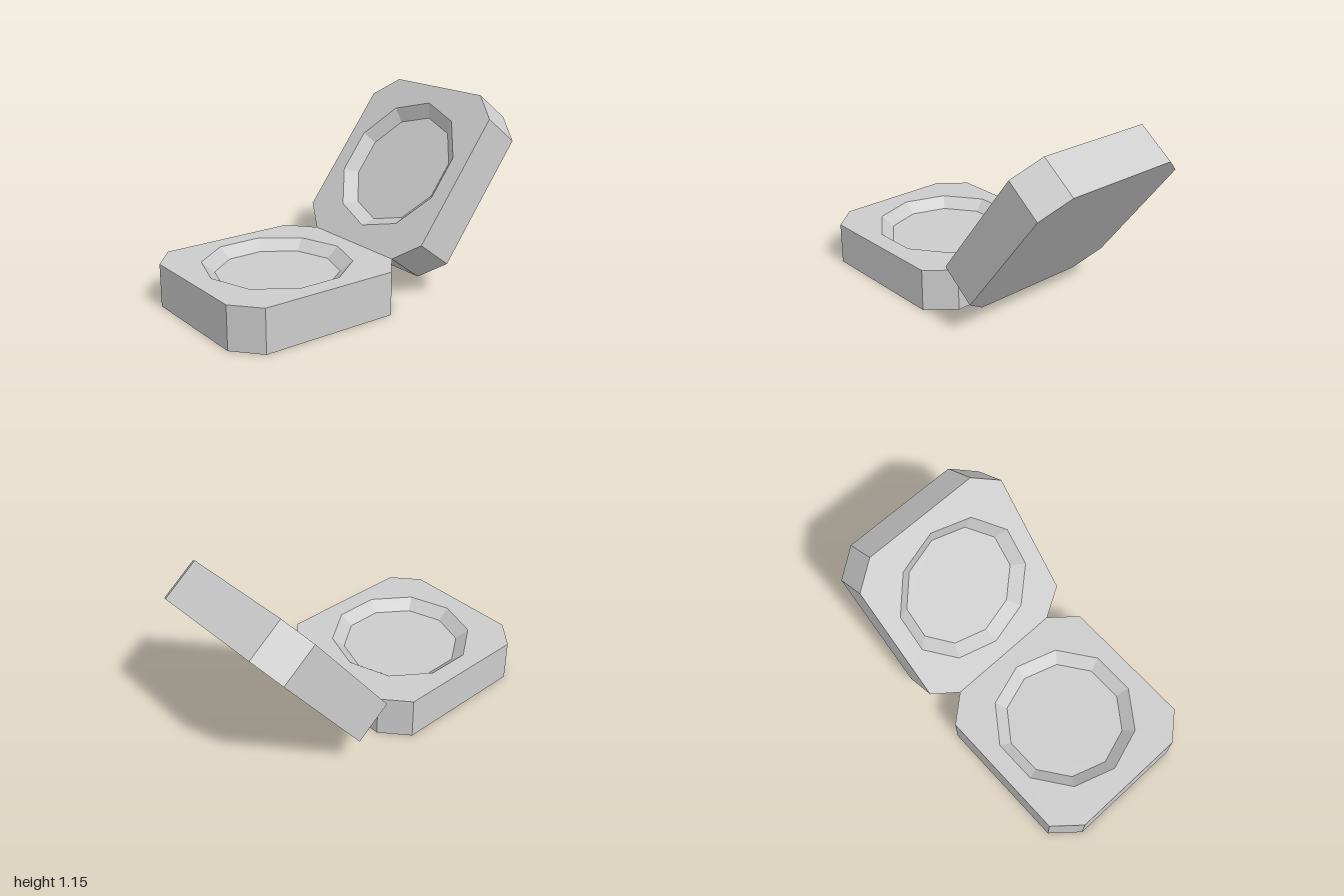
import * as THREE from 'three';
import { mergeGeometries } from 'three/addons/utils/BufferGeometryUtils.js';

const HALF_W = 0.53, LENGTH = 1.115, THICK = 0.26;
const CUT_X = 0.16, CUT_Y = 0.137;
const RECESS_R = 0.4375, FLOOR_R = 0.363, RECESS_DEPTH = 0.062;

// Ten-sided ring with a corner pointing along the case
function decagon(radius, cy) {
  return Array.from({ length: 10 }, (_, i) => {
    const a = Math.PI / 2 + (i * Math.PI) / 5;
    return new THREE.Vector2(radius * Math.cos(a), cy + radius * Math.sin(a));
  });
}

// Flat face at height z
function cap(points, z, hole) {
  const shape = new THREE.Shape(points);
  if (hole) shape.holes.push(new THREE.Path(hole));
  const geo = new THREE.ShapeGeometry(shape).toNonIndexed();
  geo.deleteAttribute('uv');
  return geo.translate(0, 0, z);
}

// Band of quads between two rings; faces outward when a lies below b
function band(a, za, b, zb) {
  const pos = [];
  a.forEach((p, i) => {
    const j = (i + 1) % a.length;
    const p0 = [p.x, p.y, za], p1 = [a[j].x, a[j].y, za];
    const q0 = [b[i].x, b[i].y, zb], q1 = [b[j].x, b[j].y, zb];
    pos.push(...p0, ...p1, ...q1, ...p0, ...q1, ...q0);
  });
  const geo = new THREE.BufferGeometry();
  geo.setAttribute('position', new THREE.Float32BufferAttribute(pos, 3));
  geo.computeVertexNormals();
  return geo;
}

// One half of the case: hinge edge on y = 0, inner face on z = 0
function caseHalf(recessY) {
  const w = HALF_W, c = HALF_W - CUT_X, l = LENGTH;
  const outline = [
    [-c, 0], [c, 0], [w, CUT_Y], [w, l - CUT_Y],
    [c, l], [-c, l], [-w, l - CUT_Y], [-w, CUT_Y],
  ].map(([x, y]) => new THREE.Vector2(x, y));
  const rim = decagon(RECESS_R, recessY);
  const floor = decagon(FLOOR_R, recessY);
  return mergeGeometries([
    cap(outline, 0, rim),
    cap(outline, 0).rotateY(Math.PI).translate(0, 0, -THICK),
    band(outline, -THICK, outline, 0),
    band(rim, 0, floor, -RECESS_DEPTH),
    cap(floor, -RECESS_DEPTH),
  ]);
}

export function createModel() {
  const group = new THREE.Group();
  group.name = 'hingedCase';
  const material = new THREE.MeshStandardMaterial({ color: 0xcccccc, flatShading: true });

  // Lower half lying flat, reaching forward from the hinge
  const base = new THREE.Mesh(caseHalf(0.553), material);
  base.name = 'base';
  base.rotation.set(-Math.PI / 2, 0, Math.PI);

  // Upper half tilted back from the same hinge line
  const lid = new THREE.Mesh(caseHalf(0.559), material);
  lid.name = 'lid';
  lid.rotation.x = -0.65;

  for (const half of [base, lid]) {
    half.position.set(0, THICK, -0.115);
    group.add(half);
  }
  return group;
}
